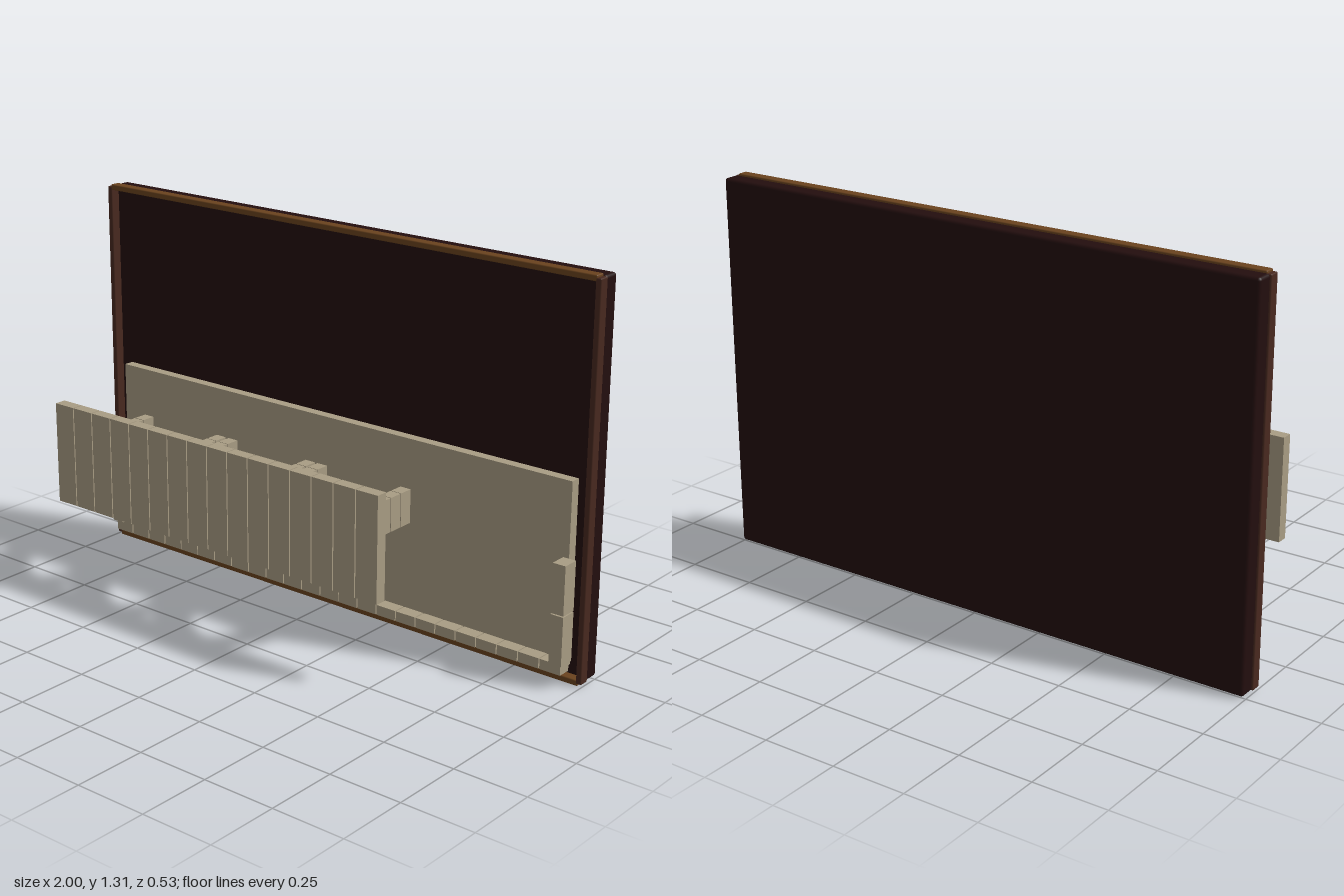
import * as THREE from 'three';
import { RoundedBoxGeometry } from 'three/addons/geometries/RoundedBoxGeometry.js';

const mat = (name, color) => new THREE.MeshStandardMaterial({ name, color });

export function createModel() {
  const stone = mat('stone', 0xa99d84);
  const darkWood = mat('darkWood', 0x230e0e);
  const railWood = mat('railWood', 0x6a431e);
  const stileWood = mat('stileWood', 0x48291f);
  const model = new THREE.Group();
  model.name = 'reliefBoard';

  function add(name, geometry, material, parent = model) {
    const mesh = new THREE.Mesh(geometry, material);
    mesh.name = name;
    parent.add(mesh);
    return mesh;
  }
  function group(name) {
    const g = new THREE.Group();
    g.name = name;
    model.add(g);
    return g;
  }
  // Box given by its limits on each axis
  function box(name, [x0, x1], [y0, y1], [z0, z1], material, parent, radius = 0) {
    const size = [x1 - x0, y1 - y0, z1 - z0];
    const geo = radius ? new RoundedBoxGeometry(...size, 2, radius) : new THREE.BoxGeometry(...size);
    const mesh = add(name, geo, material, parent);
    mesh.position.set((x0 + x1) / 2, (y0 + y1) / 2, (z0 + z1) / 2);
    return mesh;
  }

  // Backing board and its raised frame
  box('backingBoard', [-0.996, 0.996], [0.008, 1.302], [-0.263, -0.203], darkWood, model, 0.01);
  const frame = group('frame');
  for (const y of [0, 1.288])
    box('rail', [-0.985, 0.985], [y, y + 0.02], [-0.206, -0.171], railWood, frame, 0.004);
  for (const s of [-1, 1])
    box('stile', [s * 0.99 - 0.01, s * 0.99 + 0.01], [0.008, 1.3], [-0.206, -0.17], stileWood, frame, 0.004);

  // Plain stone slab set in the lower half
  box('wallSlab', [-0.937, 0.937], [0.05, 0.665], [-0.205, -0.168], stone);

  // Row of small stones along the bottom
  const sill = group('sillStones');
  const sillPitch = 1.91 / 24;
  for (let i = 0; i < 24; i++) {
    const x = -0.955 + i * sillPitch;
    box('sillStone', [x + 0.002, x + sillPitch - 0.002], [0.045, 0.08], [-0.121, -0.168], stone, sill)
      .geometry = new THREE.BoxGeometry(sillPitch - 0.004, 0.035, 0.047);
  }

  // Two stacked end blocks on each side
  const ends = group('endBlocks');
  for (const s of [-1, 1])
    for (const y of [0.081, 0.25])
      box('endBlock', [s * 0.939 - 0.023, s * 0.939 + 0.023], [y, y + 0.165], [-0.168, -0.11], stone, ends);

  // Three U-shaped bays: straight legs and a half ring of wedge stones
  const inner = 0.151, outer = 0.191, arcZ = 0.031, arcStones = 7;
  const y0 = 0.4, height = 0.115;
  function wedge(a0, a1) {
    const p = (r, a) => new THREE.Vector2(r * Math.cos(a), -r * Math.sin(a));
    const shape = new THREE.Shape([p(inner, a0), p(inner, a1), p(outer, a1), p(outer, a0)]);
    return new THREE.ExtrudeGeometry(shape, { depth: height, bevelEnabled: false }).rotateX(-Math.PI / 2);
  }
  for (const cx of [-0.612, -0.217, 0.176]) {
    const bay = group('bay');
    for (const s of [-1, 1])
      for (let i = 0; i < 3; i++) {
        const z = -0.125 + i * 0.052;
        const x = cx + s * (inner + outer) / 2;
        box('legStone', [x - 0.02, x + 0.02], [y0, y0 + height], [z, z + 0.049], stone, bay);
      }
    const step = Math.PI / arcStones;
    for (let i = 0; i < arcStones; i++)
      add('wedgeStone', wedge(i * step + 0.008, (i + 1) * step - 0.008), stone, bay)
        .position.set(cx, y0, arcZ);
  }

  // Front screen of tall narrow plates
  const screen = group('frontScreen');
  const pitch = 1.38 / 16;
  for (let i = 0; i < 16; i++) {
    const x = -0.844 + i * pitch;
    box('screenPlate', [x + 0.002, x + pitch - 0.002], [0.294, 0.646], [0.223, 0.263], stone, screen);
  }
  return model;
}
